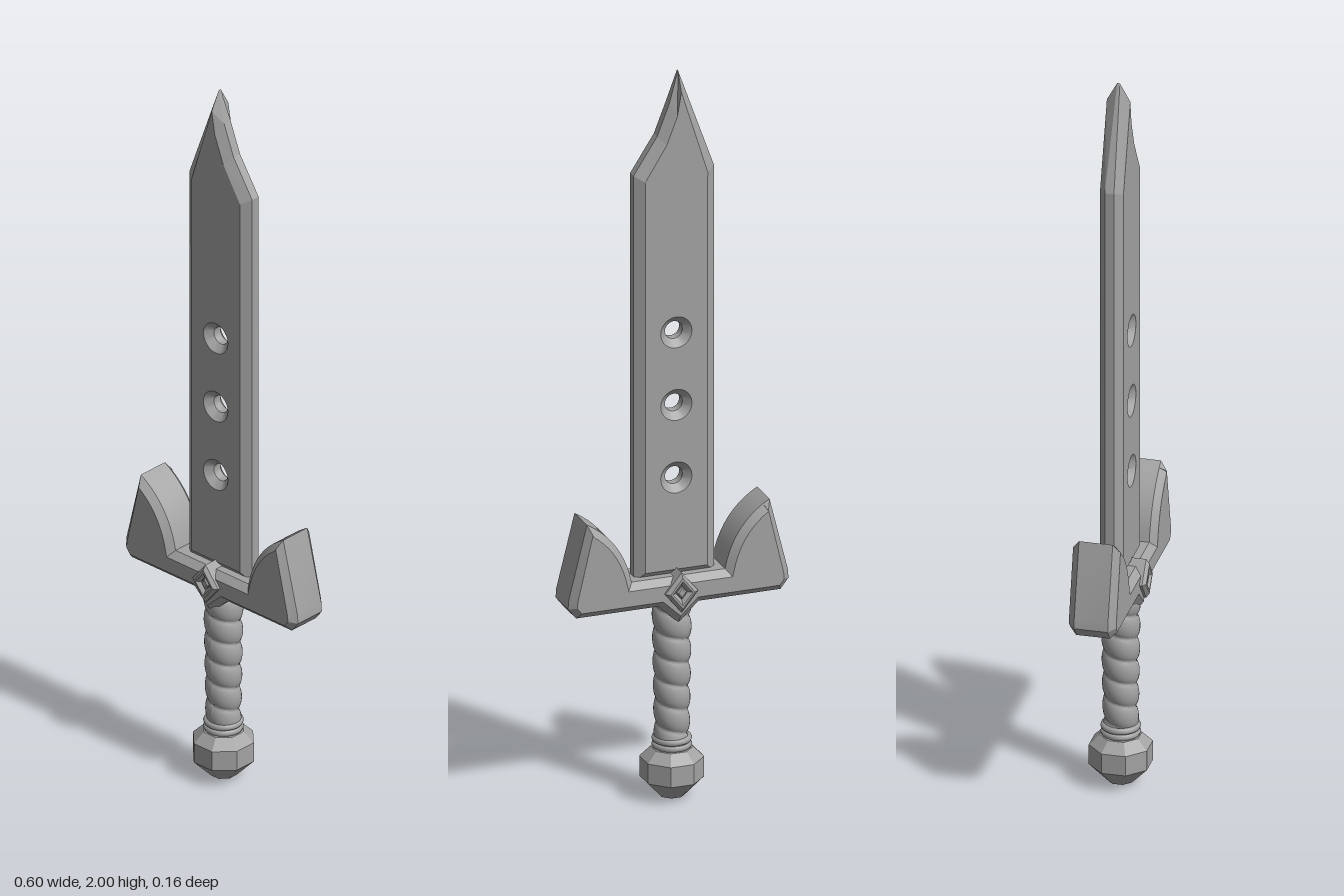
import * as THREE from 'three';
import { toCreasedNormals } from 'three/addons/utils/BufferGeometryUtils.js';

const steel = new THREE.MeshStandardMaterial({ color: 0xa3a3a3 });
steel.name = 'steel grey';

const V = (x, y) => new THREE.Vector2(x, y);

function part(name, geometry, parent) {
  const mesh = new THREE.Mesh(geometry, steel);
  mesh.name = name;
  parent.add(mesh);
  return mesh;
}

// Skin between equal-length outlines, ordered from back to front
function loft(rings) {
  const pos = [];
  for (let k = 0; k < rings.length - 1; k++) {
    const a = rings[k], b = rings[k + 1], n = a.length;
    for (let i = 0; i < n; i++) {
      const j = (i + 1) % n;
      for (const p of [a[i], a[j], b[j], a[i], b[j], b[i]]) pos.push(p.x, p.y, p.z);
    }
  }
  const g = new THREE.BufferGeometry();
  g.setAttribute('position', new THREE.Float32BufferAttribute(pos, 3));
  g.computeVertexNormals();
  return g;
}

// Extrusion with one chamfer, centred on z = 0
function chamfered(shape, thickness, chamfer) {
  const g = new THREE.ExtrudeGeometry(shape, {
    depth: thickness - 2 * chamfer, bevelEnabled: true, bevelSegments: 1,
    bevelThickness: chamfer, bevelSize: chamfer, bevelOffset: -chamfer, curveSegments: 10,
  });
  g.translate(0, 0, -thickness / 2 + chamfer);
  return toCreasedNormals(g, 0.4);
}

function makeBlade() {
  const blade = new THREE.Group();
  blade.name = 'blade';
  const half = 0.031, rim = 0.012;
  const outer = [V(-0.11, 0.61), V(0.11, 0.61), V(0.11, 1.73), V(0.045, 1.83),
    V(0.012, 1.915), V(-0.015, 2), V(-0.11, 1.73)];
  const inner = [V(-0.085, 0.637), V(0.085, 0.637), V(0.085, 1.715), V(0.026, 1.81),
    V(-0.003, 1.885), V(-0.014, 1.95), V(-0.086, 1.72)];
  const ring = (pts, z) => pts.map((p, i) => new THREE.Vector3(p.x, p.y, i === 5 && pts === outer ? z * 0.3 : z));
  part('bladeEdge', loft([ring(inner, -half), ring(outer, -rim), ring(outer, rim), ring(inner, half)]), blade);

  // Flat faces pierced by three countersunk holes
  const holes = [0.89, 1.09, 1.29];
  const face = new THREE.Shape(inner);
  for (const y of holes) face.holes.push(new THREE.Path().absarc(0, y, 0.043, 0, Math.PI * 2, true));
  const front = new THREE.ShapeGeometry(face, 12);
  const back = front.clone().scale(1, 1, -1);
  back.index.array.reverse();
  back.computeVertexNormals();
  part('bladeFrontFace', front, blade).position.z = half;
  part('bladeBackFace', back, blade).position.z = -half;

  const wall = new THREE.LatheGeometry(
    [V(0.043, half), V(0.024, 0.012), V(0.024, -0.012), V(0.043, -half)], 24);
  wall.rotateX(Math.PI / 2);
  const creased = toCreasedNormals(wall, 0.5);
  for (const y of holes) part('bladeHole', creased, blade).position.y = y;
  return blade;
}

function makeGuard() {
  const guard = new THREE.Group();
  guard.name = 'guard';
  // Crossbar with two upswept horns and a pointed centre
  const s = new THREE.Shape();
  s.moveTo(0, 0.495);
  s.lineTo(0.055, 0.547);
  s.lineTo(0.28, 0.547);
  s.lineTo(0.302, 0.575);
  s.lineTo(0.3, 0.6);
  s.lineTo(0.25, 0.8);
  s.quadraticCurveTo(0.152, 0.745, 0.128, 0.625);
  s.lineTo(-0.128, 0.625);
  s.quadraticCurveTo(-0.152, 0.745, -0.25, 0.8);
  s.lineTo(-0.3, 0.6);
  s.lineTo(-0.302, 0.575);
  s.lineTo(-0.28, 0.547);
  s.lineTo(-0.055, 0.547);
  part('crossguard', chamfered(s, 0.125, 0.018), guard);

  // Diamond frame passing through the guard, with a small stud on each side
  const diamond = (w, h) => [V(0, -h), V(w, 0), V(0, h), V(-w, 0)];
  const frame = new THREE.Shape(diamond(0.045, 0.055));
  frame.holes.push(new THREE.Path(diamond(0.016, 0.02).reverse()));
  part('diamondFrame', chamfered(frame, 0.156, 0.009), guard).position.y = 0.587;
  part('diamondStud', chamfered(new THREE.Shape(diamond(0.014, 0.018)), 0.146, 0.004), guard).position.y = 0.587;
  return guard;
}

function makeGrip() {
  const grip = new THREE.Group();
  grip.name = 'grip';
  // Spiral binding: radius swells between the turns
  const height = 0.4, pitch = 0.065;
  const g = new THREE.CylinderGeometry(1, 1, height, 32, 120, true);
  const p = g.attributes.position;
  for (let i = 0; i < p.count; i++) {
    const x = p.getX(i), y = p.getY(i), z = p.getZ(i);
    const phase = y / pitch + Math.atan2(x, z) / (Math.PI * 2);
    const r = 0.039 + 0.01 * Math.sqrt(Math.abs(Math.sin(phase * Math.PI))) + 0.006 * y / height;
    p.setXYZ(i, x * r, y, z * r);
  }
  g.computeVertexNormals();
  part('binding', g, grip).position.y = 0.15 + height / 2;

  for (const y of [0.145, 0.162]) {
    const ring = part('collarRing', new THREE.TorusGeometry(0.043, 0.009, 8, 32), grip);
    ring.rotation.x = Math.PI / 2;
    ring.position.y = y;
  }
  return grip;
}

// Eight-sided faceted pommel
function makePommel() {
  const profile = [[0, 0], [0.035, 0.006], [0.083, 0.055], [0.083, 0.11], [0.055, 0.137], [0, 0.14]];
  const g = new THREE.LatheGeometry(profile.map(([r, y]) => V(r, y)), 8, Math.PI / 8);
  return toCreasedNormals(g, 0.1);
}

export function createModel() {
  const sword = new THREE.Group();
  sword.name = 'sword';
  const blade = makeBlade(), guard = makeGuard();
  blade.position.z = guard.position.z = -0.002;
  sword.add(blade, guard, makeGrip());
  part('pommel', makePommel(), sword);
  return sword;
}
